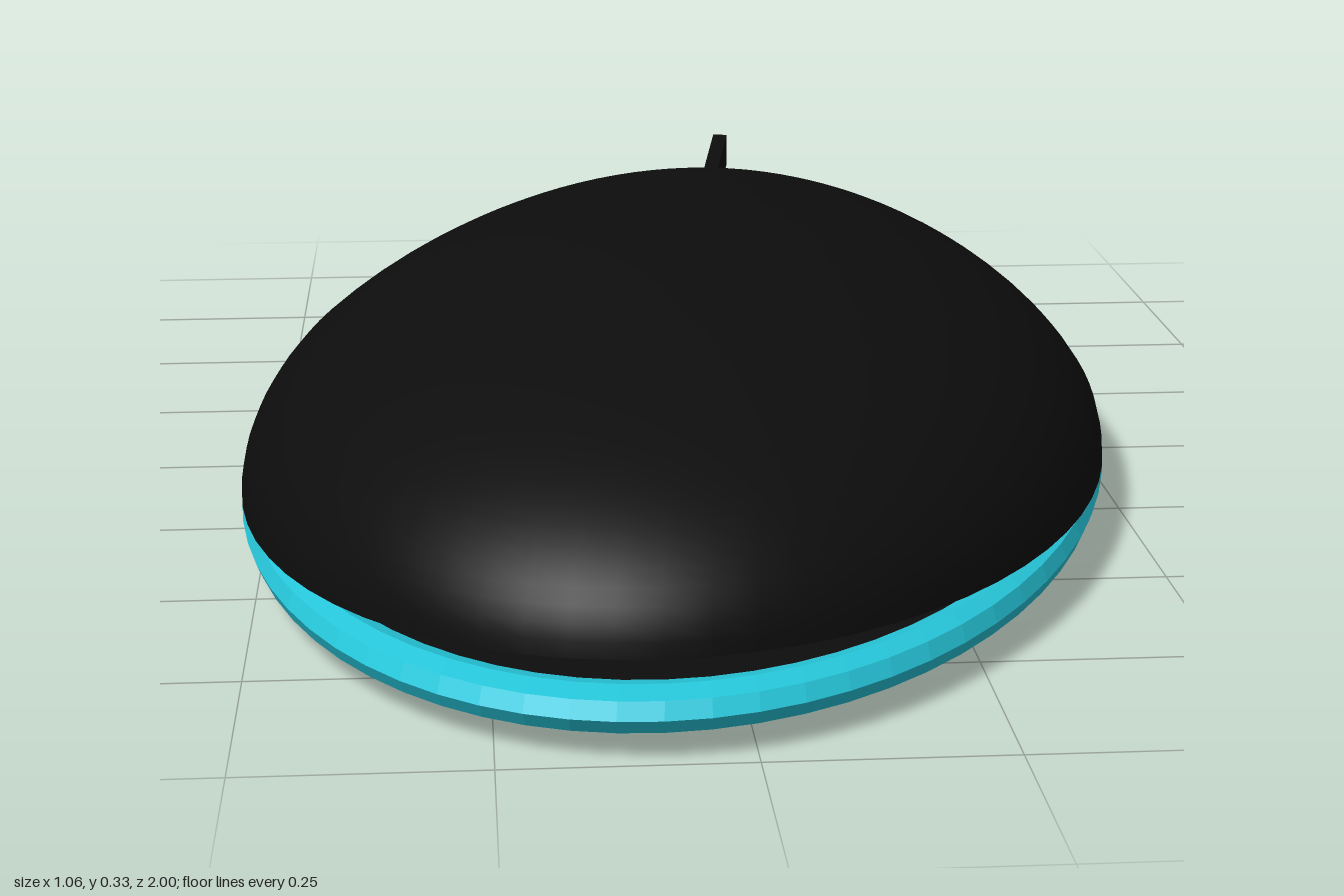
import * as THREE from 'three';

const YAW = 0.1355;          // the oval is turned slightly about the vertical
const A = 1.007, B = 0.516;  // half length and half width of the oval

// Height of the shell's lower edge: lifted towards the front, tucked into the trim behind
function edgeHeight(x, z) {
  const d = x * Math.sin(YAW) + z * Math.cos(YAW);
  return d > 0 ? 0.035 + 0.07 * d : 0.035 + 0.07 * d * (1 + d);
}

// Turns a unit dome or disc into the tilted shell shape
function shapeShell(geometry, height) {
  const p = geometry.attributes.position;
  for (let i = 0; i < p.count; i++) {
    const z = p.getZ(i) * A;
    const taper = z < 0 ? 1 + 0.09 * z : 1;
    const x = p.getX(i) * B * taper;
    p.setXYZ(i, x, edgeHeight(x, z) + p.getY(i) * height, z);
  }
  geometry.computeVertexNormals();
  return geometry;
}

export function createModel() {
  const model = new THREE.Group();
  model.name = 'ovalShellDevice';
  const body = new THREE.Group();
  body.name = 'body';
  body.rotation.y = -YAW;
  model.add(body);

  const black = new THREE.MeshStandardMaterial({ color: 0x0d0d0d, side: THREE.DoubleSide });
  black.name = 'black';
  const teal = new THREE.MeshStandardMaterial({ color: 0x26c6da, flatShading: true });
  teal.name = 'teal';

  const add = (name, geometry, material) => {
    const mesh = new THREE.Mesh(geometry, material);
    mesh.name = name;
    body.add(mesh);
    return mesh;
  };

  // Domed upper shell and its closed underside
  const dome = new THREE.SphereGeometry(1, 72, 28, 0, Math.PI * 2, 0, Math.PI / 2);
  add('upperShell', shapeShell(dome, 0.285), black);
  const under = new THREE.CircleGeometry(1, 72).rotateX(Math.PI / 2);
  add('shellUnderside', shapeShell(under, 0), black);

  // Faceted trim ring around the foot
  const ring = new THREE.TorusGeometry(0.96, 0.04, 8, 72).rotateX(Math.PI / 2);
  ring.rotateY(Math.PI / 2);
  ring.scale(B, 0.0225 / 0.04, A);
  add('trimRing', ring, teal).position.y = 0.0435;

  // Shallow bulging base
  const base = new THREE.SphereGeometry(1, 64, 12, 0, Math.PI * 2, Math.PI / 2, Math.PI / 2);
  base.scale(0.485, 0.038, 0.945);
  add('base', base, black).position.y = 0.038;

  // Thin fin at the back
  add('rearFin', new THREE.BoxGeometry(0.02, 0.045, 0.3), black).position.set(0.005, 0.2235, -0.703);

  return model;
}
